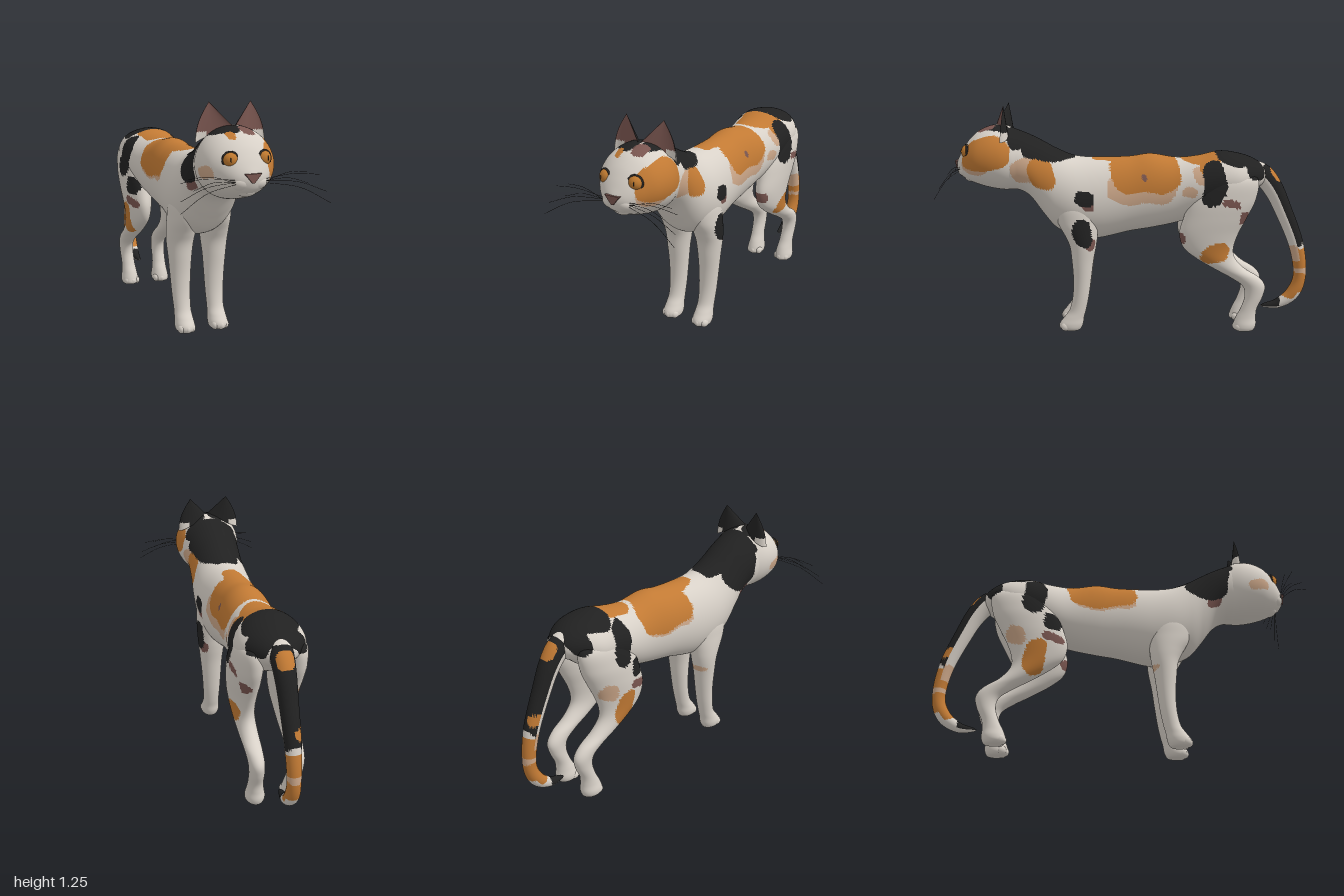
import * as THREE from 'three';

const mat = (name, color) => Object.assign(new THREE.MeshStandardMaterial({ color }), { name });
const W = 0, O = 1, B = 2, R = 3, P = 4;

// Patches: [colour, centre x y z, radius x y z]; the first match wins
const NAPE = [
  [B, 0, 1.10, .58, .3, .075, .10], [B, 0, 1.04, .46, .3, .08, .13], [B, 0, 1.0, .37, .16, .05, .09],
  [B, -.14, .97, .50, .08, .12, .12], [R, -.16, .84, .53, .06, .03, .04],
  [O, .14, .89, .47, .09, .08, .07], [P, .14, .91, .55, .09, .07, .08],
];
const SHOULDER = [
  [B, .17, .76, .235, .07, .042, .05], [R, .17, .735, .22, .07, .04, .035],
  [B, .19, .57, .245, .045, .08, .06], [R, .18, .51, .205, .05, .035, .04],
];
const HIP = [
  [B, 0, 1.01, -.60, 1, .075, .125], [B, 0, .92, -.685, .2, .08, .05], [B, 0, .84, -.46, 1, .115, .062],
  [R, .18, .735, -.56, .1, .022, .05], [R, .18, .66, -.62, .1, .035, .025],
  [O, .13, .94, -.445, .1, .05, .055], [P, .18, .79, -.33, .1, .03, .04],
];
const SADDLE = [
  [O, .02, .99, -.40, .13, .05, .12], [R, .15, .86, -.08, .06, .018, .014], [O, 0, .89, -.09, 1, .105, .19],
  [O, -.01, .98, .10, .09, .04, .10], [P, .1, .81, -.07, .2, .085, .19], [P, -.1, .82, -.07, .15, .05, .17],
  [P, .15, .89, -.40, .06, .05, .05],
];
const THIGH = [
  [O, .17, .455, -.47, .07, .055, .075], [O, -.17, .47, -.45, .07, .10, .06], [R, .1, .53, -.28, .1, .03, .03],
  [R, -.17, .585, -.35, .09, .025, .06], [B, -.19, .68, -.36, .08, .05, .05], [P, -.15, .6, -.55, .07, .05, .05],
];
const HEAD = [
  [O, -.055, 1.108, .82, .02, .015, .04], [R, .045, 1.13, .77, .04, .022, .05],
  [B, -.07, 1.135, .73, .08, .03, .09], [B, .09, 1.14, .70, .07, .03, .07], [B, 0, 1.09, .58, .3, .07, .07],
  [O, .16, 1.0, .75, .075, .09, .11], [O, .14, 1.0, .84, .055, .085, .08], [P, .13, .93, .82, .07, .04, .08],
  [P, -.16, .935, .79, .05, .03, .06],
];
const TAIL = [
  [B, 0, .125, -.80, 1, .05, .06], [O, 0, .24, -.93, 1, .08, .1], [P, 0, .325, -.97, 1, .02, .1],
  [O, 0, .40, -.95, 1, .06, .1], [O, -.03, .55, -.93, .03, .03, .04], [O, 0, .87, -.80, .045, .05, .06],
  [B, 0, .70, -.85, 1, .26, .16],
];
const paintBy = (patches) => (p) => {
  const q = [p.x, p.y + .008 * Math.sin(31 * p.z + 9 * p.x), p.z + .008 * Math.sin(37 * p.y + 13 * p.x)];
  const hit = patches.find((b) => q.reduce((s, v, i) => s + Math.abs((v - b[i + 1]) / b[i + 4]) ** 3, 0) < 1);
  return hit ? hit[0] : W;
};
const paintTail = paintBy(TAIL);

// Smooth interpolation through the rows of a section table
function sample(rows, t) {
  const f = t * (rows.length - 1), i = Math.min(Math.floor(f), rows.length - 2), k = f - i;
  const at = (j) => rows[Math.max(0, Math.min(rows.length - 1, j))];
  return rows[0].map((_, c) => {
    const [a, b, d, e] = [at(i - 1)[c], at(i)[c], at(i + 1)[c], at(i + 2)[c]];
    return b + .5 * k * (d - a + k * (2 * a - 5 * b + 4 * d - e + k * (3 * (b - d) + e - a)));
  });
}

// Closed-ring surface from point(t, angle), one face group per colour
function surface(name, mats, nu, nv, point, paint) {
  const v = [], groups = mats.map(() => []), tris = [];
  for (let i = 0; i <= nu; i++) for (let j = 0; j < nv; j++) v.push(point(i / nu, j / nv * Math.PI * 2));
  let volume = 0;
  const c = new THREE.Vector3(), n = new THREE.Vector3();
  for (let i = 0; i < nu; i++) for (let j = 0; j < nv; j++) {
    const a = i * nv + j, b = i * nv + (j + 1) % nv;
    for (const t of [[a, b, a + nv], [b, b + nv, a + nv]]) {
      tris.push([t, paint(c.copy(v[t[0]]).add(v[t[1]]).add(v[t[2]]).divideScalar(3), (j + .5) / nv)]);
      volume += v[t[0]].dot(n.crossVectors(v[t[1]], v[t[2]]));
    }
  }
  for (const [t, m] of tris) groups[m].push(...(volume < 0 ? [t[0], t[2], t[1]] : t));
  const g = new THREE.BufferGeometry().setFromPoints(v);
  g.setIndex(groups.flat());
  let start = 0;
  groups.forEach((s, m) => { if (s.length) g.addGroup(start, s.length, m); start += s.length; });
  g.computeVertexNormals();
  const mesh = new THREE.Mesh(g, mats);
  mesh.name = name;
  return mesh;
}

// Rows: [position along axis, far edge, near edge, half width, centre x]
function loft(name, mats, axis, rows, patches, nu, nv, side = 1) {
  return surface(name, mats, nu, nv, (t, a) => {
    const [s, hi, lo, w, x = 0] = sample(rows, t);
    const px = side * x + Math.max(0, w) * Math.cos(a), q = (hi + lo) / 2 + (hi - lo) / 2 * Math.sin(a);
    return axis === 'z' ? new THREE.Vector3(px, q, s) : new THREE.Vector3(px, Math.max(0, s), q);
  }, paintBy(patches));
}

export function createModel() {
  const cat = new THREE.Group();
  cat.name = 'cat';
  const coat = [mat('white fur', 0xd8d1c8), mat('orange fur', 0xc27a34), mat('black fur', 0x212121),
    mat('rose skin', 0x7a5650), mat('peach fur', 0xcda88a)];
  const amber = mat('amber eye', 0xc07a30), dark = mat('dark line', 0x2a2725);
  const add = (name, geo, material, pos = [0, 0, 0], scale = [1, 1, 1], parent = cat) => {
    const m = new THREE.Mesh(geo, material);
    m.name = name;
    m.position.set(...pos);
    m.scale.set(...scale);
    parent.add(m);
  };
  const ball = new THREE.SphereGeometry(1, 28, 20);
  const line = (name, pts, r) => add(name, new THREE.TubeGeometry(
    new THREE.CatmullRomCurve3(pts.map((p) => new THREE.Vector3(...p))), 14, r, 5), dark);

  // Torso and neck
  cat.add(loft('torso', coat, 'z', [
    [.71, 1.11, .83, .13], [.66, 1.13, .79, .168], [.60, 1.112, .783, .161], [.54, 1.088, .745, .156],
    [.47, 1.053, .65, .157], [.40, 1.015, .57, .165], [.30, .975, .525, .172], [.18, .965, .51, .165],
    [0, .97, .55, .15], [-.12, .985, .57, .148], [-.26, .965, .60, .15], [-.38, .975, .64, .17], [-.50, 1, .68, .18],
    [-.60, .988, .72, .175], [-.68, .962, .78, .13], [-.74, .92, .82, .07], [-.76, .87, .87, 0]],
  [...NAPE, ...SHOULDER, ...HIP, ...SADDLE], 180, 120));

  // Head
  cat.add(loft('head', coat, 'z', [
    [.56, .97, .97, 0], [.58, 1.07, .84, .11], [.61, 1.108, .80, .152], [.65, 1.132, .787, .173],
    [.70, 1.145, .787, .185], [.76, 1.138, .797, .184], [.82, 1.112, .813, .167], [.87, 1.068, .832, .133],
    [.905, 1.02, .85, .10], [.93, .975, .87, .065], [.944, .945, .90, .025], [.946, .925, .925, 0]], HEAD, 90, 100));
  add('chin', ball, coat[W], [0, .864, .872], [.055, .036, .038]);
  add('nose', new THREE.ExtrudeGeometry(new THREE.Shape([[-.042, .018], [-.006, -.026], [.006, -.026], [.042, .018]]
    .map((p) => new THREE.Vector2(...p))), { depth: .03, bevelEnabled: false }), coat[R], [0, .93, .922]);

  // Tail: pale on the inner side above and on the outer side of the lower curl
  const path = [[.88, -.62, .05], [.885, -.69, .06], [.86, -.745, .06], [.79, -.80, .055], [.69, -.85, .049],
    [.48, -.936, .042], [.30, -.965, .036], [.19, -.93, .038], [.128, -.85, .028], [.115, -.77, .012], [.115, -.75, 0]];
  cat.add(surface('tail', coat, 120, 36, (t, a) => {
    const [y, z, r] = sample(path, t);
    const [y0, z0] = sample(path, Math.max(0, t - .01)), [y1, z1] = sample(path, Math.min(1, t + .01));
    const k = Math.max(0, r) * Math.sin(a) / Math.hypot(y1 - y0, z1 - z0);
    return new THREE.Vector3(Math.max(0, r) * Math.cos(a), y + (z1 - z0) * k, z - (y1 - y0) * k);
  }, (p, v) => {
    if (v < .5 && p.y > .38) return p.y < .47 ? P : W;
    return v > .56 && v < .94 && p.y < .2 ? W : paintTail(p);
  }));

  for (const s of [1, -1]) {
    const word = s > 0 ? 'left' : 'right';
    // Legs with toes
    cat.add(loft(word + 'FrontLeg', coat, 'y', [
      [.80, .36, .25, 0, .10], [.72, .40, .19, .06, .10], [.62, .39, .17, .074, .097], [.54, .35, .172, .078, .095],
      [.48, .325, .18, .073, .097], [.40, .315, .195, .064, .098], [.30, .308, .208, .056, .097],
      [.20, .312, .222, .05, .096], [.12, .33, .238, .046, .095], [.075, .36, .25, .049, .095],
      [.04, .386, .255, .053, .095], [.014, .385, .265, .048, .095], [0, .36, .28, .03, .095],
      [0, .33, .32, 0, .095]], [...SHOULDER, [P, -.1, .43, .19, .1, .014, .04]], 90, 48, s));
    cat.add(loft(word + 'HindLeg', coat, 'y', [
      [.92, -.48, -.62, 0, .10], [.86, -.42, -.70, .06, .115], [.75, -.34, -.69, .08, .115],
      [.65, -.30, -.645, .08, .113], [.56, -.277, -.60, .072, .112], [.48, -.30, -.575, .062, .112],
      [.42, -.37, -.585, .055, .112], [.36, -.47, -.64, .05, .11], [.31, -.56, -.72, .045, .108],
      [.26, -.63, -.755, .042, .106], [.20, -.645, -.745, .04, .104], [.13, -.625, -.715, .04, .102],
      [.08, -.60, -.71, .045, .10], [.04, -.585, -.712, .052, .10], [.014, -.583, -.705, .048, .10],
      [0, -.61, -.69, .03, .10], [0, -.64, -.65, 0, .10]], [...HIP, ...THIGH], 110, 60, s));
    for (const z of [.364, -.607]) for (const i of [-1, 0, 1])
      add('toe', ball, coat[W], [s * .096 + i * .029, .026, z - Math.abs(i) * .012], [.021, .025, .027]);

    // Muzzle pad
    add(word + 'MuzzlePad', ball, coat[W], [s * .036, .903, .888], [.058, .042, .052]);

    // Ear: a bulging back shell and a hollow rose front
    cat.add(surface(word + 'Ear', coat, 24, 40, (t, a) => {
      const c = Math.cos(a), k = Math.sin(a), u = 1 - t, bow = .018 * Math.sin(Math.PI * t) * Math.max(0, c);
      return new THREE.Vector3(s * (.108 - .014 * u + .087 * u * c + bow), 1.255 - u * (.152 + .04 * c),
        .67 + .035 * u - (k > 0 ? .055 : .022) * u * Math.abs(k) - .02 * u * c);
    }, (p, v) => (p.y < 1.115 && Math.abs(p.x) > .12 ? W : v > .5 ? R : B)));

    // Eye with dark rim and a small slit pupil
    const eye = new THREE.Group();
    eye.name = word + 'Eye';
    eye.position.set(s * .084, 1.006, .874);
    eye.rotation.set(-.1, s * .3, 0);
    cat.add(eye);
    add('eyeball', ball, amber, [0, 0, 0], [.037, .037, .034], eye);
    add('eyeRim', new THREE.TorusGeometry(.0355, .006, 8, 36), dark, [0, 0, .008], [1, 1, 1], eye);
    add('pupil', ball, dark, [0, 0, .033], [.002, .011, .003], eye);

    // Whiskers and mouth
    [[.375, .797, 1.0], [.365, .848, .975], [.35, .922, .93], [.30, .932, .90], [.29, .885, .94]].forEach(([x, y, z], i) =>
      line('whisker', [[s * .065, .90 + (i % 3) * .008, .92], [s * (x * .55 + .03), (y + .93) / 2 + .008, (z + .925) / 2],
        [s * x, y, z]], .001));
    line('mouth', [[0, .884, .936], [s * .022, .868, .922], [s * .052, .873, .908]], .0015);
  }
  return cat;
}
